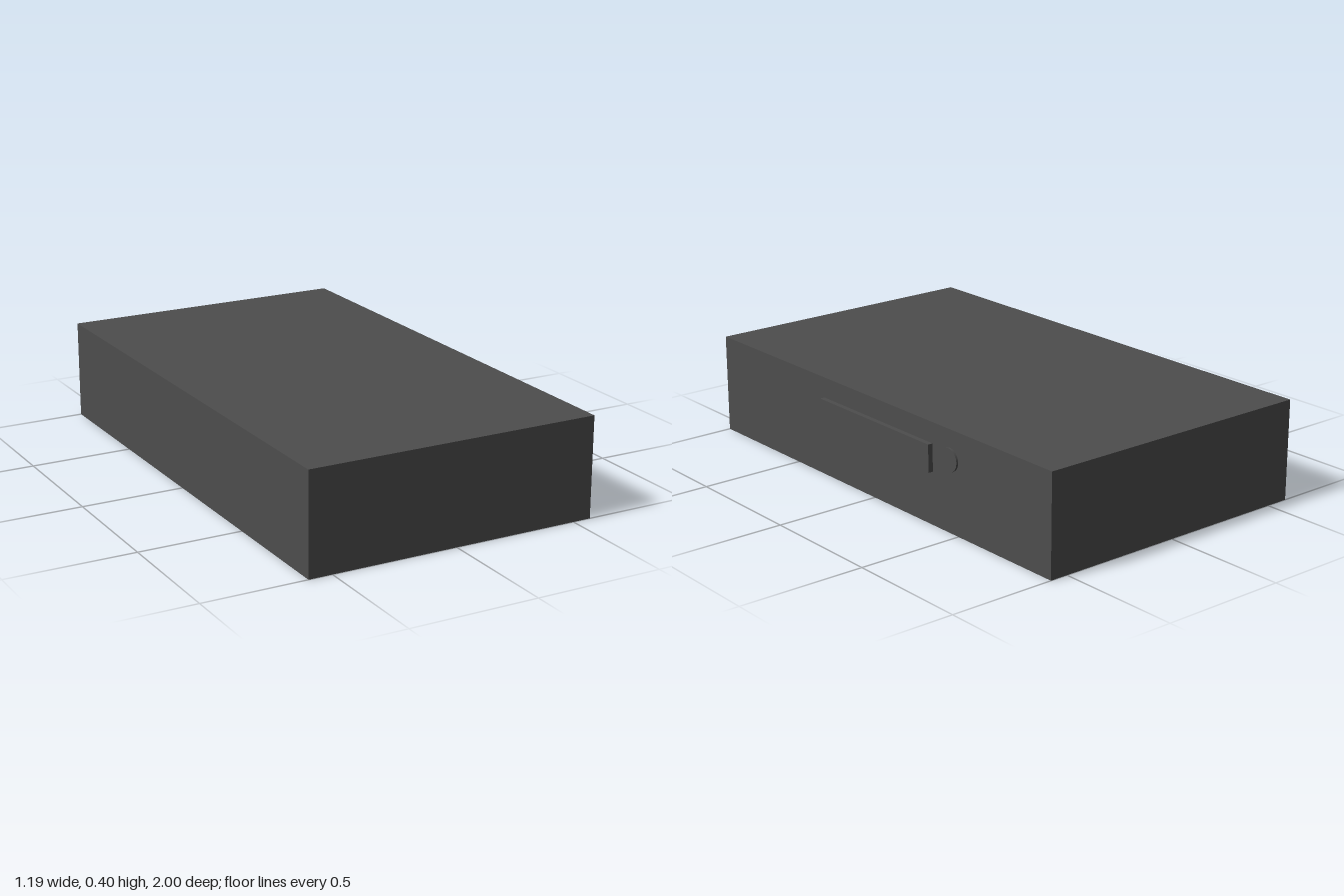
import * as THREE from 'three';

export function createModel() {
  const group = new THREE.Group();
  const material = new THREE.MeshStandardMaterial({ color: 0x4d4d4d });
  const sideX = 0.573; // face that carries the fittings

  const add = (name, geometry, x, y, z) => {
    const mesh = new THREE.Mesh(geometry, material);
    mesh.name = name;
    mesh.position.set(x, y, z);
    group.add(mesh);
    return mesh;
  };

  // Main case
  add('caseBody', new THREE.BoxGeometry(1.166, 0.396, 2), -0.01, 0.198, 0);

  // Raised bar on the left side
  add('sideBar', new THREE.BoxGeometry(0.02, 0.108, 0.668), sideX + 0.01, 0.261, -0.021);

  // Round button behind the bar
  const button = add('roundButton', new THREE.CylinderGeometry(0.045, 0.045, 0.008, 16), sideX + 0.004, 0.282, -0.456);
  button.rotation.z = -Math.PI / 2;

  return group;
}
